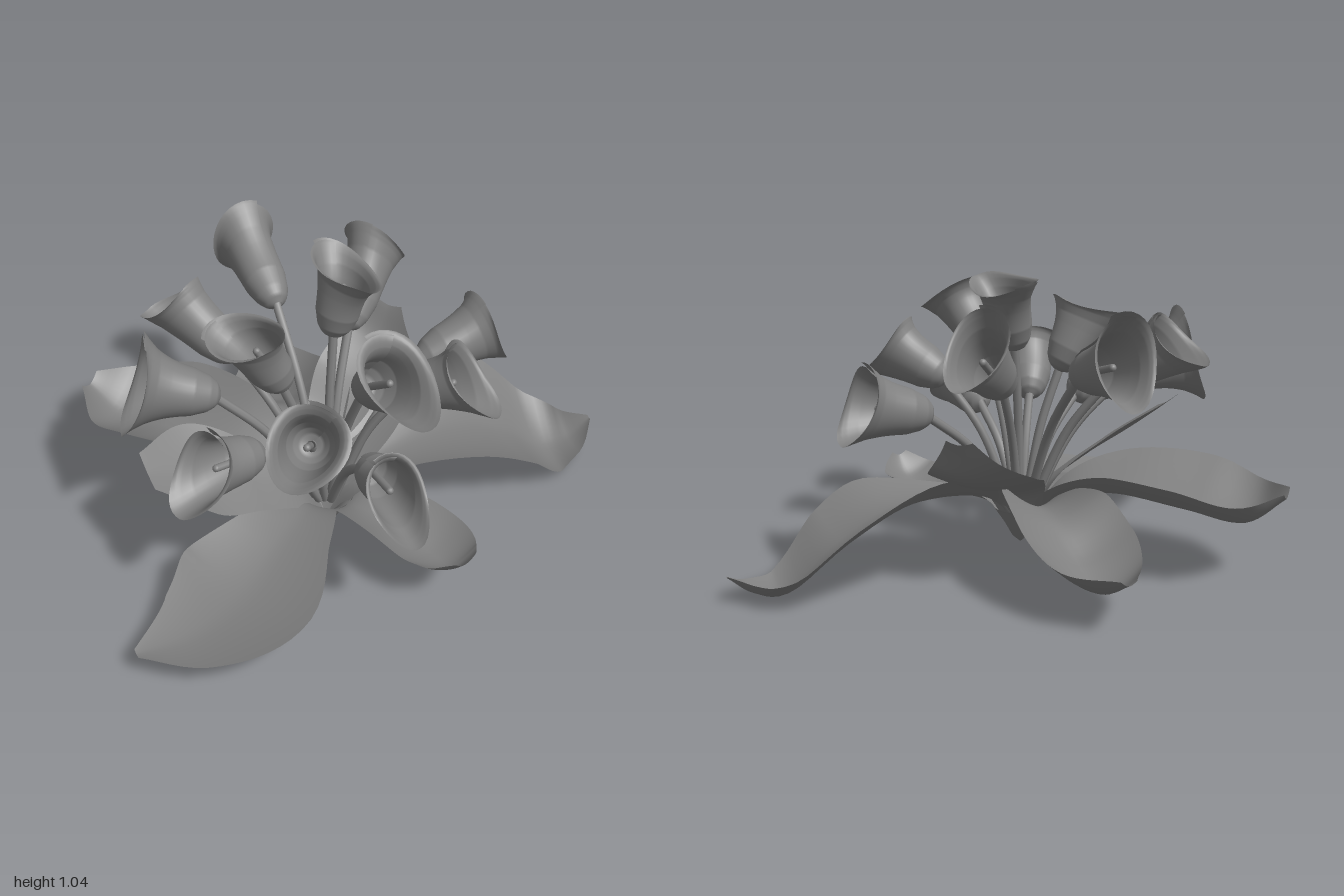
import * as THREE from 'three';
import { ParametricGeometry } from 'three/addons/geometries/ParametricGeometry.js';

const V = (p) => new THREE.Vector3(...p);
const material = new THREE.MeshStandardMaterial({ color: 0x808080, side: THREE.DoubleSide });
const UP = new THREE.Vector3(0, 1, 0);

function add(parent, name, geometry) {
  const mesh = new THREE.Mesh(geometry, material);
  mesh.name = name;
  parent.add(mesh);
  return mesh;
}

// Piecewise-linear lookup in [t, value] pairs
function lookup(pairs, t) {
  for (let i = 1; i < pairs.length; i++) {
    const [t0, a] = pairs[i - 1], [t1, b] = pairs[i];
    if (t <= t1) return THREE.MathUtils.lerp(a, b, (t - t0) / (t1 - t0));
  }
  return pairs[pairs.length - 1][1];
}

// Leaf: rows of [x, y, z, halfWidth] along the midrib; cup lifts both edges, tilt lifts one
function leafGeometry({ rows, cup, tilt = 0 }) {
  const spine = new THREE.CatmullRomCurve3(rows.map((r) => V(r.slice(0, 3))), false, 'catmullrom');
  const width = new THREE.CatmullRomCurve3(rows.map((r) => new THREE.Vector3(r[3], 0, 0)), false, 'catmullrom');
  return new ParametricGeometry((u, v, out) => {
    const s = u * 2 - 1;
    const w = Math.max(width.getPoint(v).x, 0.004);
    const side = spine.getTangent(v).cross(UP).setY(0).normalize();
    out.copy(spine.getPoint(v)).addScaledVector(side, s * w);
    out.y += (w / 0.25) * (cup * Math.pow(Math.abs(s), 1.6) + tilt * s);
  }, 14, 36);
}

// Trumpet: rings grow from the neck to an oblique rim between heel and tip, edges overlapping at the heel
const TRUMPET = [[0, 0.016], [0.04, 0.04], [0.14, 0.061], [0.32, 0.078], [0.6, 0.085], [0.78, 0.091], [0.9, 0.104], [0.96, 0.114], [1, 0.125]];
function trumpetGeometry(neck, heel, tip, rimWidth) {
  const mouth = heel.clone().add(tip).multiplyScalar(0.5);
  const axis = mouth.clone().sub(neck).normalize();
  const long = tip.clone().sub(heel).multiplyScalar(0.5);
  const side = axis.clone().cross(long).normalize();
  const across = side.clone().cross(axis).normalize();
  return new ParametricGeometry((u, v, out) => {
    const a = (u * 2 - 1) * 3.5;
    const c = Math.cos(a);
    const r = lookup(TRUMPET, v);
    const flare = Math.pow(v, 3.4);
    const w = r * THREE.MathUtils.lerp(1, rimWidth / 0.125, v);
    const ring = across.clone().multiplyScalar(r).lerp(long, flare).multiplyScalar(c)
      .addScaledVector(side, Math.sin(a) * w * (1 - 0.18 * v * c))
      .multiplyScalar(1 + 0.014 * a);
    // rim rolls back at the sides and a little at the tip
    const roll = Math.pow(v, 12) * (0.03 * Math.sin(a) ** 2 + 0.015 * Math.max(c, 0) ** 8);
    out.copy(neck).lerp(mouth, v).add(ring).addScaledVector(axis, -roll);
  }, 36, 32);
}

export function createModel() {
  const model = new THREE.Group();
  model.name = 'lilyPlant';
  const root = new THREE.Vector3(-0.13, 0.15, 0.13);

  // Leaves fanning out of the root; every midrib starts at the foot
  const foot = [-0.13, 0.05, 0.13, 0.03];
  const leaves = {
    rightLeaf: { cup: 0.085, tilt: -0.055, rows: [foot, [-0.03, 0.19, 0.13, 0.09], [0.14, 0.245, 0.12, 0.14], [0.4, 0.25, 0.1, 0.28], [0.62, 0.15, 0.11, 0.28], [0.8, 0.01, 0.14, 0.2], [0.91, 0.02, 0.17, 0.11], [1, 0.09, 0.18, 0.01]] },
    backLeaf: { cup: 0.14, tilt: 0.02, rows: [foot, [-0.1, 0.2, -0.02, 0.1], [-0.02, 0.23, -0.25, 0.18], [0.01, 0.14, -0.45, 0.2], [0.04, 0.1, -0.62, 0.15], [0.05, 0.18, -0.78, 0.03]] },
    backLeftLeaf: { cup: 0.14, rows: [foot, [-0.21, 0.2, 0.02, 0.11], [-0.35, 0.25, -0.16, 0.2], [-0.5, 0.23, -0.4, 0.24], [-0.61, 0.21, -0.57, 0.19], [-0.69, 0.31, -0.68, 0.05]] },
    frontLeftLeaf: { cup: 0.045, rows: [foot, [-0.23, 0.19, 0.2, 0.1], [-0.38, 0.2, 0.3, 0.17], [-0.6, 0.12, 0.42, 0.27], [-0.8, 0.08, 0.46, 0.19], [-1, 0.09, 0.45, 0.02]] },
    frontLeaf: { cup: 0.12, rows: [foot, [-0.09, 0.15, 0.22, 0.09], [-0.02, 0.16, 0.38, 0.13], [0.04, 0.14, 0.56, 0.14], [0.05, 0.16, 0.67, 0.1], [0.05, 0.23, 0.74, 0.03]] },
    upperRightLeaf: { cup: 0.06, tilt: -0.01, rows: [foot, [-0.06, 0.22, 0.07, 0.12], [0.06, 0.29, -0.02, 0.17], [0.2, 0.35, -0.15, 0.19], [0.29, 0.43, -0.23, 0.14], [0.36, 0.56, -0.27, 0.05]] },
    upperLeftLeaf: { cup: 0.03, tilt: 0.14, rows: [foot, [-0.24, 0.22, 0.12, 0.08], [-0.4, 0.32, 0.1, 0.12], [-0.58, 0.4, 0.08, 0.15], [-0.77, 0.48, 0.08, 0.06]] },
  };
  for (const [name, spec] of Object.entries(leaves)) add(model, name, leafGeometry(spec));

  // Root funnel joining the leaves
  const crown = [[0.001, 0.02], [0.03, 0.045], [0.06, 0.1], [0.1, 0.16]];
  add(model, 'crown', new THREE.LatheGeometry(crown.map((p) => new THREE.Vector2(...p)), 20))
    .position.set(root.x, 0, root.z);

  // Flowers: neck, heel of rim, tip of rim, rim half width
  const flowers = [
    [[-0.11, 0.73, -0.25], [-0.09, 0.99, -0.54], [-0.09, 0.68, -0.62], 0.115],
    [[-0.33, 0.66, -0.12], [-0.42, 0.91, -0.28], [-0.55, 0.75, -0.43], 0.11],
    [[-0.27, 0.66, 0.1], [-0.47, 0.87, -0.06], [-0.32, 0.93, 0.19], 0.1],
    [[-0.46, 0.63, 0], [-0.67, 0.88, -0.1], [-0.8, 0.53, -0.1], 0.13],
    [[-0.42, 0.53, 0.22], [-0.6, 0.71, 0.27], [-0.78, 0.46, 0.3], 0.115],
    [[-0.26, 0.53, 0.27], [-0.27, 0.77, 0.38], [-0.5, 0.63, 0.54], 0.13],
    [[-0.06, 0.77, 0.05], [0.01, 1.03, -0.13], [0, 1.03, 0.22], 0.1],
    [[-0.1, 0.74, 0.32], [-0.07, 0.98, 0.37], [-0.09, 0.83, 0.71], 0.125],
    [[-0.13, 0.49, 0.4], [-0.16, 0.66, 0.57], [-0.16, 0.43, 0.79], 0.095],
    [[0.09, 0.64, 0.27], [0.2, 0.85, 0.38], [0.29, 0.64, 0.57], 0.1],
    [[0.07, 0.67, -0.08], [0.21, 0.99, -0.22], [0.4, 0.75, -0.3], 0.1],
    [[0.26, 0.57, 0.09], [0.5, 0.77, 0.1], [0.61, 0.5, 0.12], 0.12],
  ];
  flowers.forEach(([n, h, p, rimWidth], i) => {
    const flower = new THREE.Group();
    flower.name = `flower${i + 1}`;
    model.add(flower);
    const neck = V(n), heel = V(h), tip = V(p);
    const axis = heel.clone().add(tip).multiplyScalar(0.5).sub(neck);
    const length = axis.length();
    axis.normalize();
    add(flower, 'trumpet', trumpetGeometry(neck, heel, tip, rimWidth));

    // Stem rises from the crown and bends into the neck
    const outward = neck.clone().sub(root).setY(0);
    const start = root.clone().addScaledVector(outward, 0.12);
    const rise = start.clone().lerp(neck, 0.55).addScaledVector(outward, -0.05);
    rise.y += 0.03;
    const end = neck.clone().addScaledVector(axis, 0.03);
    add(flower, 'stem', new THREE.TubeGeometry(new THREE.CatmullRomCurve3([start, rise, end]), 16, 0.016, 8));

    // Spadix inside the trumpet
    const spadix = add(flower, 'spadix', new THREE.CapsuleGeometry(0.013, length * 0.45, 4, 10));
    spadix.position.copy(neck).addScaledVector(axis, length * 0.45);
    spadix.quaternion.setFromUnitVectors(UP, axis);
  });
  return model;
}
